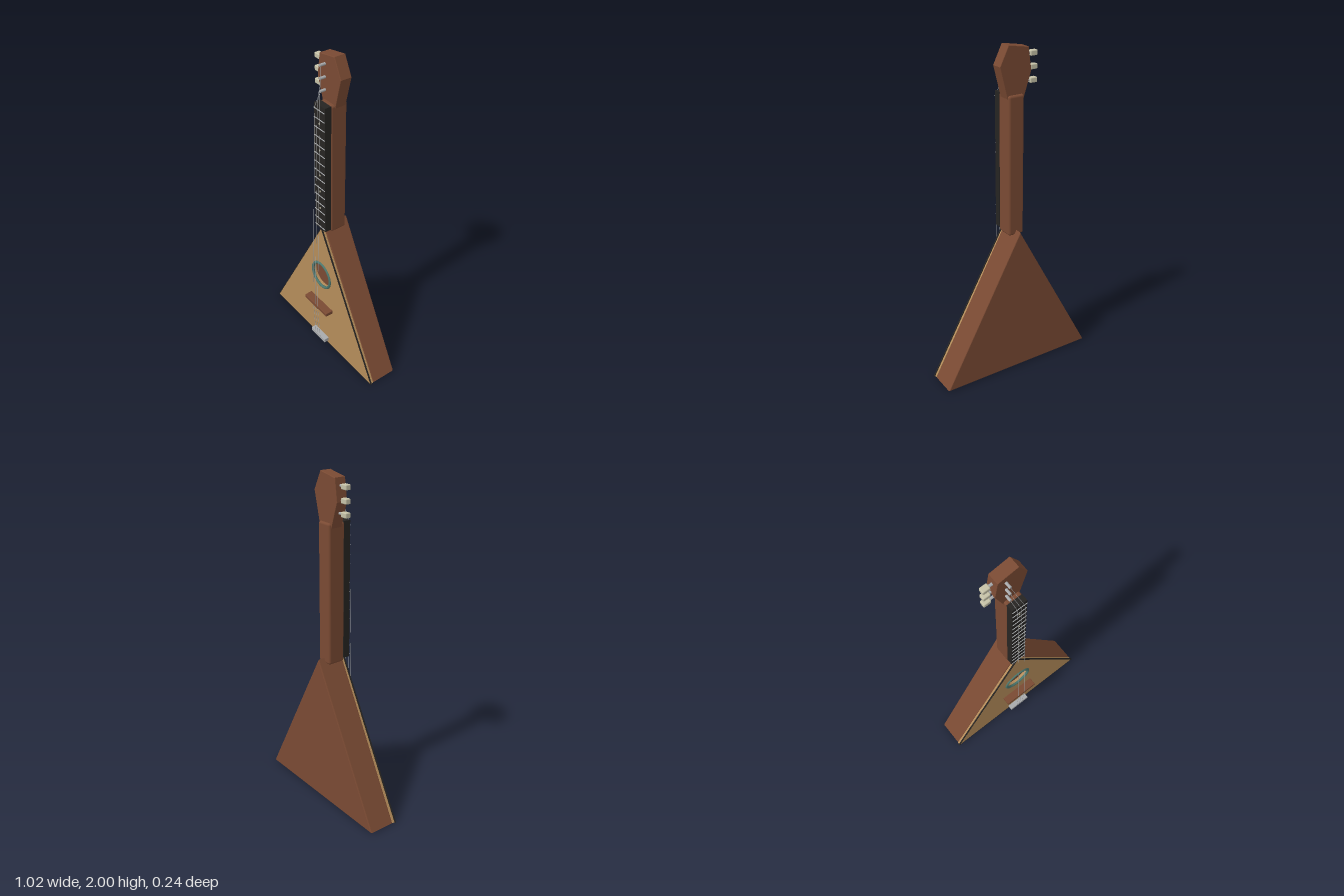
import * as THREE from 'three';
import { RoundedBoxGeometry } from 'three/addons/geometries/RoundedBoxGeometry.js';

const mat = (color) => new THREE.MeshStandardMaterial({ color });

// Triangle standing on y = 0, moved inwards by d on every side
function triangle(w, h, d = 0, Type = THREE.Shape) {
  const a = Math.atan2(h, w);
  const half = w - d / Math.tan(a / 2);
  return new Type([
    new THREE.Vector2(-half, d),
    new THREE.Vector2(half, d),
    new THREE.Vector2(0, h - d / Math.cos(a)),
  ]);
}

// Extrude a shape between two depths, with an optional bevel kept inside them
function slab(shape, z0, z1, bevel = 0, curveSegments = 32) {
  const geo = new THREE.ExtrudeGeometry(shape, {
    depth: z1 - z0 - 2 * bevel, bevelEnabled: bevel > 0, bevelSize: bevel,
    bevelThickness: bevel, bevelSegments: 2, curveSegments,
  });
  return geo.translate(0, 0, z0 + bevel);
}

export function createModel() {
  const model = new THREE.Group();
  model.name = 'balalaika';

  const wood = mat(0x7a4a33);
  const spruce = mat(0xb48c5a);
  const ebony = mat(0x262422);
  const metal = mat(0xa8aaac);
  const cream = mat(0xc6c2a8);
  const teal = mat(0x4c766c);

  function add(name, geometry, material, x = 0, y = 0, z = 0, parent = model) {
    const mesh = new THREE.Mesh(geometry, material);
    mesh.name = name;
    mesh.position.set(x, y, z);
    parent.add(mesh);
    return mesh;
  }
  function group(name) {
    const g = new THREE.Group();
    g.name = name;
    model.add(g);
    return g;
  }

  // Body, with softened edges
  add('body', slab(triangle(0.506, 0.93, 0.006), -0.118, 0.046, 0.006), wood);

  // Soundboard with round hole
  const holeY = 0.545;
  const board = triangle(0.508, 0.913, 0.002);
  board.holes.push(new THREE.Path().absarc(0, holeY, 0.08, 0, Math.PI * 2, true));
  add('soundboard', slab(board, 0.046, 0.068), spruce);

  // Dark binding round the soundboard edge
  const binding = triangle(0.51, 0.916);
  binding.holes.push(triangle(0.51, 0.916, 0.004, THREE.Path));
  add('binding', slab(binding, 0.06, 0.069), ebony);

  add('rosette', new THREE.TorusGeometry(0.087, 0.009, 10, 48), teal, 0, holeY, 0.068);
  add('bridge', new RoundedBoxGeometry(0.226, 0.024, 0.052, 2, 0.003), wood, 0, 0.312, 0.092);
  add('tailpiece', new RoundedBoxGeometry(0.144, 0.028, 0.036, 2, 0.003), metal, 0, 0.035, 0.083);

  // Neck and fingerboard
  add('neck', new RoundedBoxGeometry(0.1, 0.835, 0.108, 3, 0.014), wood, 0, 1.3125, -0.021);
  add('fingerboard', new THREE.BoxGeometry(0.096, 0.815, 0.042), ebony, 0, 1.3225, 0.051);

  // Frets
  const frets = group('frets');
  const fretGeo = new THREE.BoxGeometry(0.094, 0.004, 0.005);
  for (let i = 0; i < 15; i++) add('fret', fretGeo, metal, 0, 1.7 - i * 0.055, 0.073, frets);

  // Position dots
  const dots = group('positionDots');
  const dotGeo = new THREE.CylinderGeometry(0.006, 0.006, 0.003, 16).rotateX(Math.PI / 2);
  for (const y of [1.62, 1.455, 1.29, 1.18, 1.065]) add('dot', dotGeo, cream, 0, y, 0.0725, dots);

  // Headstock
  const head = new THREE.Shape([
    [-0.05, 1.705], [0.05, 1.715], [0.095, 1.89], [0.042, 1.997],
    [-0.08, 1.976], [-0.098, 1.85],
  ].map(([x, y]) => new THREE.Vector2(x, y)));
  add('headstock', slab(head, -0.062, 0.008, 0.003), wood);

  // Tuners: knob, shaft and string post
  const tuners = group('tuners');
  const shaftGeo = new THREE.CylinderGeometry(0.008, 0.008, 0.06, 12).rotateZ(Math.PI / 2);
  const knobGeo = new RoundedBoxGeometry(0.046, 0.03, 0.034, 2, 0.006);
  const postGeo = new THREE.CylinderGeometry(0.008, 0.008, 0.045, 12).rotateX(Math.PI / 2);
  const tunerY = [1.787, 1.861, 1.935];
  for (const y of tunerY) {
    add('tunerShaft', shaftGeo, metal, -0.09, y, -0.027, tuners);
    add('tunerKnob', knobGeo, cream, -0.132, y, -0.027, tuners);
    add('stringPost', postGeo, metal, -0.034, y, 0.021, tuners);
  }

  // Strings: post, top of fingerboard, bridge, tailpiece
  const strings = group('strings');
  tunerY.forEach((y, i) => {
    const x = (i - 1) * 0.023;
    const path = new THREE.CurvePath();
    const points = [[-0.034, y, 0.038], [x, 1.72, 0.086], [x, 0.312, 0.117], [x, 0.035, 0.1]]
      .map((p) => new THREE.Vector3(...p));
    for (let k = 0; k < 3; k++) path.add(new THREE.LineCurve3(points[k], points[k + 1]));
    add('string', new THREE.TubeGeometry(path, 60, 0.0012, 6), metal, 0, 0, 0, strings);
  });

  return model;
}
